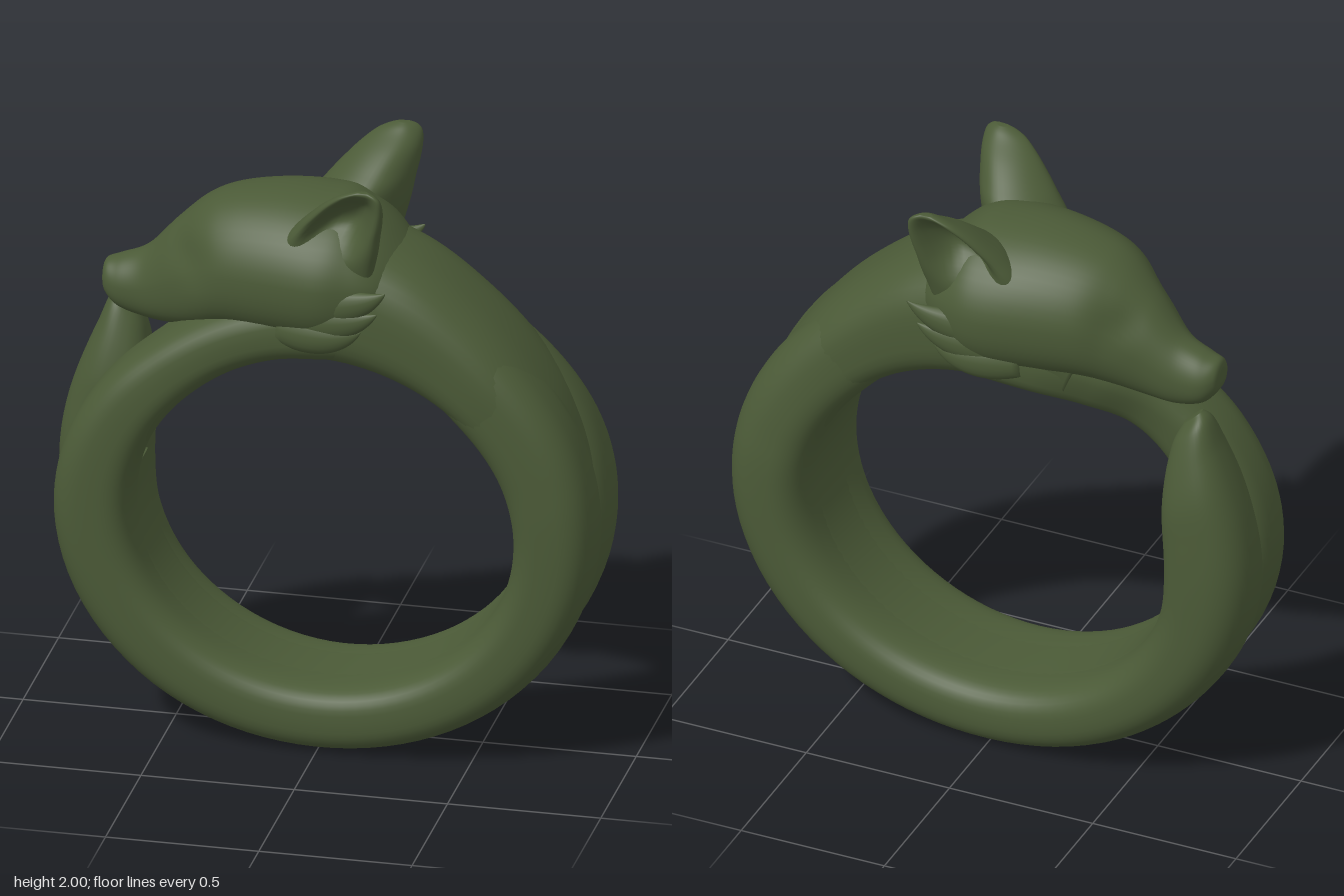
import * as THREE from 'three';

// Catmull-Rom sampling of a list of equally long stations, u in 0..1
function sample(keys, u) {
  const f = u * (keys.length - 1);
  const i = Math.min(Math.floor(f), keys.length - 2);
  const t = f - i;
  const a = keys[Math.max(i - 1, 0)], b = keys[i], c = keys[i + 1], d = keys[Math.min(i + 2, keys.length - 1)];
  return b.map((_, k) => {
    const m0 = (c[k] - a[k]) / 2, m1 = (d[k] - b[k]) / 2;
    return (2 * t ** 3 - 3 * t * t + 1) * b[k] + (t ** 3 - 2 * t * t + t) * m0 +
      (3 * t * t - 2 * t ** 3) * c[k] + (t ** 3 - t * t) * m1;
  });
}

// Smooth closed skin: ringPoint(u, angle) gives [x, y, z]; both ends are capped
function skin(ringPoint, nu, nv) {
  const pos = [], idx = [];
  for (let i = 0; i <= nu; i++)
    for (let j = 0; j < nv; j++) pos.push(...ringPoint(i / nu, (j / nv) * Math.PI * 2));
  for (const i of [0, nu]) {
    const c = [0, 0, 0];
    for (let j = 0; j < nv; j++) for (let k = 0; k < 3; k++) c[k] += pos[(i * nv + j) * 3 + k] / nv;
    pos.push(...c);
  }
  const capA = (nu + 1) * nv, capB = capA + 1;
  for (let j = 0; j < nv; j++) {
    const n = (j + 1) % nv;
    for (let i = 0; i < nu; i++) {
      const a = i * nv + j, b = i * nv + n;
      idx.push(a, b, a + nv, b, b + nv, a + nv);
    }
    idx.push(capA, n, j, capB, nu * nv + j, nu * nv + n);
  }
  // Turn the faces outward if the enclosed volume is negative
  const p = (i) => new THREE.Vector3().fromArray(pos, i * 3);
  let volume = 0;
  for (let i = 0; i < idx.length; i += 3) volume += p(idx[i]).dot(p(idx[i + 1]).cross(p(idx[i + 2])));
  if (volume < 0) idx.reverse();
  const g = new THREE.BufferGeometry();
  g.setAttribute('position', new THREE.Float32BufferAttribute(pos, 3));
  g.setIndex(idx);
  g.computeVertexNormals();
  return g;
}

const rounded = (c, n) => Math.sign(c) * Math.abs(c) ** (2 / n);

// Coil around the oval hole; stations are [degrees, inner offset, outer offset, back z, front z]
function coil(keys, nu, power = 2.7, innerPower = 3) {
  return skin((u, v) => {
    const [deg, r0, r1, z0, z1] = sample(keys, u);
    const a = THREE.MathUtils.degToRad(deg);
    const n = Math.cos(v) < 0 ? innerPower : power;
    const r = (r0 + r1) / 2 + (r1 - r0) / 2 * rounded(Math.cos(v), n);
    const z = (z0 + z1) / 2 + (z1 - z0) / 2 * rounded(Math.sin(v), n);
    return [0.015 + (0.625 + r) * Math.cos(a), 0.78 + (0.56 + r) * Math.sin(a), z];
  }, nu, 40);
}

export function createModel() {
  const model = new THREE.Group();
  const green = new THREE.MeshStandardMaterial({ color: 0x4b5a37 });
  green.name = 'mossGreen';
  const add = (name, geometry) => {
    const mesh = new THREE.Mesh(geometry, green);
    mesh.name = name;
    model.add(mesh);
  };

  // Front coil: from the neck, down and round, widening again under the chin
  add('frontCoil', coil([
    [65, 0.03, 0.29, 0, 0.25], [45, 0, 0.285, -0.02, 0.265], [20, 0, 0.278, -0.025, 0.275],
    [0, 0, 0.265, -0.025, 0.275], [-45, 0, 0.23, -0.035, 0.25], [-90, 0, 0.22, -0.045, 0.235],
    [-135, 0, 0.238, -0.03, 0.24], [-180, 0, 0.255, -0.02, 0.25], [-210, 0, 0.235, -0.02, 0.25],
    [-228, 0, 0.213, -0.05, 0.24], [-242, 0, 0.215, -0.14, 0.235], [-256, 0, 0.23, -0.22, 0.24],
    [-270, 0, 0.25, -0.24, 0.25], [-282, 0.02, 0.25, -0.22, 0.24],
  ], 150));

  // Back coil, ending in the free tail tip
  add('tailCoil', coil([
    [65, 0.03, 0.29, -0.2, 0], [45, 0, 0.28, -0.23, 0.02], [20, 0, 0.275, -0.27, 0.02],
    [0, 0, 0.262, -0.285, 0.02], [-45, 0, 0.23, -0.27, 0.01], [-90, 0, 0.22, -0.255, 0],
    [-135, 0, 0.24, -0.27, 0.01], [-165, 0, 0.28, -0.285, 0.02], [-182, 0, 0.298, -0.29, 0.01],
    [-196, 0.02, 0.308, -0.285, 0], [-206, 0.06, 0.32, -0.275, -0.005],
    [-214, 0.125, 0.34, -0.245, -0.03], [-220, 0.21, 0.368, -0.205, -0.07], [-222.5, 0.285, 0.365, -0.16, -0.11],
  ], 150, 2.4, 2.6));

  // Smooth inside face that closes the seam between the coils
  add('innerBand', coil([
    [70, 0, 0.12, -0.13, 0.14], [0, 0, 0.12, -0.14, 0.13], [-90, 0, 0.12, -0.14, 0.11],
    [-170, 0, 0.12, -0.14, 0.12], [-190, 0.01, 0.1, -0.1, 0.12],
  ], 110, 5, 7));

  // Broad neck that joins both coils to the head
  add('neck', coil([
    [112, 0.02, 0.25, -0.18, 0.18], [100, 0, 0.38, -0.23, 0.24], [88, 0, 0.44, -0.24, 0.255],
    [75, 0, 0.405, -0.235, 0.265], [60, 0, 0.343, -0.225, 0.268], [45, 0, 0.298, -0.225, 0.268],
    [30, 0, 0.268, -0.225, 0.255], [12, 0.02, 0.238, -0.2, 0.22], [-8, 0.03, 0.19, -0.17, 0.18],
  ], 70, 2.5, 3.6));

  // Head from nose to nape; stations are [x, bottom, top, centre z, half width]
  const head = [
    [-0.745, 1.47, 1.52, -0.04, 0.025], [-0.734, 1.435, 1.545, -0.04, 0.056],
    [-0.69, 1.392, 1.562, -0.042, 0.082], [-0.6, 1.368, 1.605, -0.035, 0.1],
    [-0.5, 1.37, 1.715, -0.015, 0.138], [-0.4, 1.39, 1.808, 0, 0.195], [-0.3, 1.41, 1.852, 0, 0.24],
    [-0.15, 1.405, 1.876, 0, 0.278], [0, 1.4, 1.876, 0, 0.3], [0.1, 1.42, 1.86, 0, 0.285],
    [0.2, 1.48, 1.78, 0.01, 0.24], [0.3, 1.52, 1.66, 0.015, 0.14],
  ];
  add('head', skin((u, v) => {
    const [x, y0, y1, zc, w] = sample(head, u);
    const s = Math.sin(v), n = s < 0 ? 2.6 : 2.2;
    const y = (y0 + y1) / 2 + (y1 - y0) / 2 * rounded(s, n);
    // Narrow crown and a shallow socket for each closed eye
    const socket = 0.018 * Math.exp(-((x + 0.43) ** 2 + (y - 1.66) ** 2) / 0.004);
    const half = w * (1 - 0.15 * Math.max(0, s)) - socket;
    return [x, y, zc + half * rounded(Math.cos(v), n)];
  }, 90, 48));

  // Ears with hollowed outer sides; stations are [y, x from, x to, inner z, outer z, hollow]
  const ear = [
    [1.6, -0.1, 0.17, 0.06, 0.22, 0], [1.7, -0.13, 0.195, 0.05, 0.245, 0],
    [1.77, -0.105, 0.212, 0.05, 0.265, 0.35], [1.83, -0.06, 0.222, 0.065, 0.28, 0.85],
    [1.88, -0.015, 0.232, 0.115, 0.292, 1.1], [1.93, 0.035, 0.238, 0.175, 0.302, 1.05],
    [1.97, 0.085, 0.234, 0.235, 0.308, 0.6], [1.99, 0.125, 0.218, 0.262, 0.307, 0.2],
    [2.0, 0.155, 0.195, 0.28, 0.3, 0],
  ];
  // Cheek tufts sweep back and up; entries are [tip x, tip y, start x, start y]
  const tufts = [[0.245, 1.65, -0.06, 1.56], [0.215, 1.57, -0.09, 1.51], [0.16, 1.5, -0.12, 1.47]];
  for (const [side, m] of [['left', 1], ['right', -1]]) {
    add(side + 'Ear', skin((u, v) => {
      const [y, x0, x1, z0, z1, hollow] = sample(ear, u);
      const c = Math.cos(v), s = Math.sin(v), hz = (z1 - z0) / 2;
      const dent = s > 0 ? hollow * hz * 1.15 * s * Math.exp(-((c / 0.65) ** 4)) : 0;
      // The rear rim turns outward more than the front rim
      const turn = hz * c * c * (c > 0 ? 0.75 : 0.25);
      return [(x0 + x1) / 2 + (x1 - x0) / 2 * c, y, m * ((z0 + z1) / 2 + hz * s + turn - dent)];
    }, 40, 48));

    tufts.forEach(([tx, ty, sx, sy], i) => {
      const path = new THREE.QuadraticBezierCurve3(
        new THREE.Vector3(sx, sy, 0.215),
        new THREE.Vector3((sx + tx) / 2 + 0.06, (sy + ty) / 2 - 0.035, 0.262),
        new THREE.Vector3(tx, ty, 0.285 - i * 0.01));
      add(side + 'CheekTuft' + (i + 1), skin((u, v) => {
        const p = path.getPoint(u), t = path.getTangent(u);
        const r = 0.003 + 0.058 * Math.sin(Math.PI * (0.2 + u * 0.8) ** 0.8);
        const c = r * Math.cos(v);
        return [p.x - t.y * c, p.y + t.x * c, m * (p.z + r * 0.65 * Math.sin(v))];
      }, 24, 18));
    });
  }
  return model;
}
